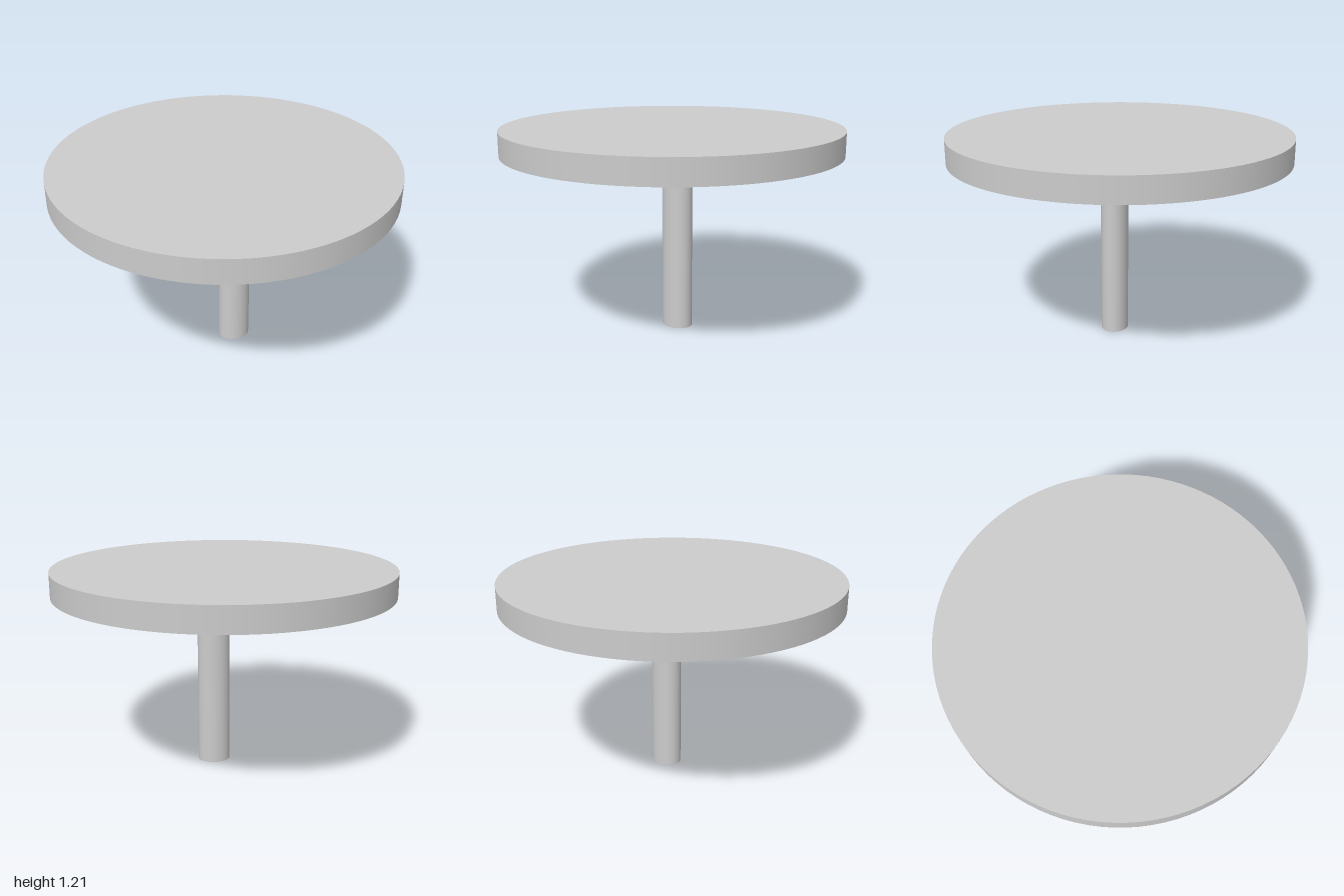
import * as THREE from 'three';

const material = new THREE.MeshStandardMaterial({ color: 0xcccccc });

// Upright elliptical cylinder standing between two heights
function column(name, rx, rz, y0, y1, x = 0, z = 0) {
  const geometry = new THREE.CylinderGeometry(1, 1, y1 - y0, 96);
  geometry.scale(rx, 1, rz);
  geometry.computeBoundingSphere();
  const mesh = new THREE.Mesh(geometry, material);
  mesh.name = name;
  mesh.position.set(x, (y0 + y1) / 2, z);
  return mesh;
}

export function createModel() {
  const table = new THREE.Group();
  table.name = 'pedestalTable';

  // Thick round top
  table.add(column('tableTop', 1, 1, 1.063, 1.207));

  // Slightly off-centre oval leg
  table.add(column('leg', 0.096, 0.08, 0, 1.063, 0.06, 0.016));

  return table;
}
